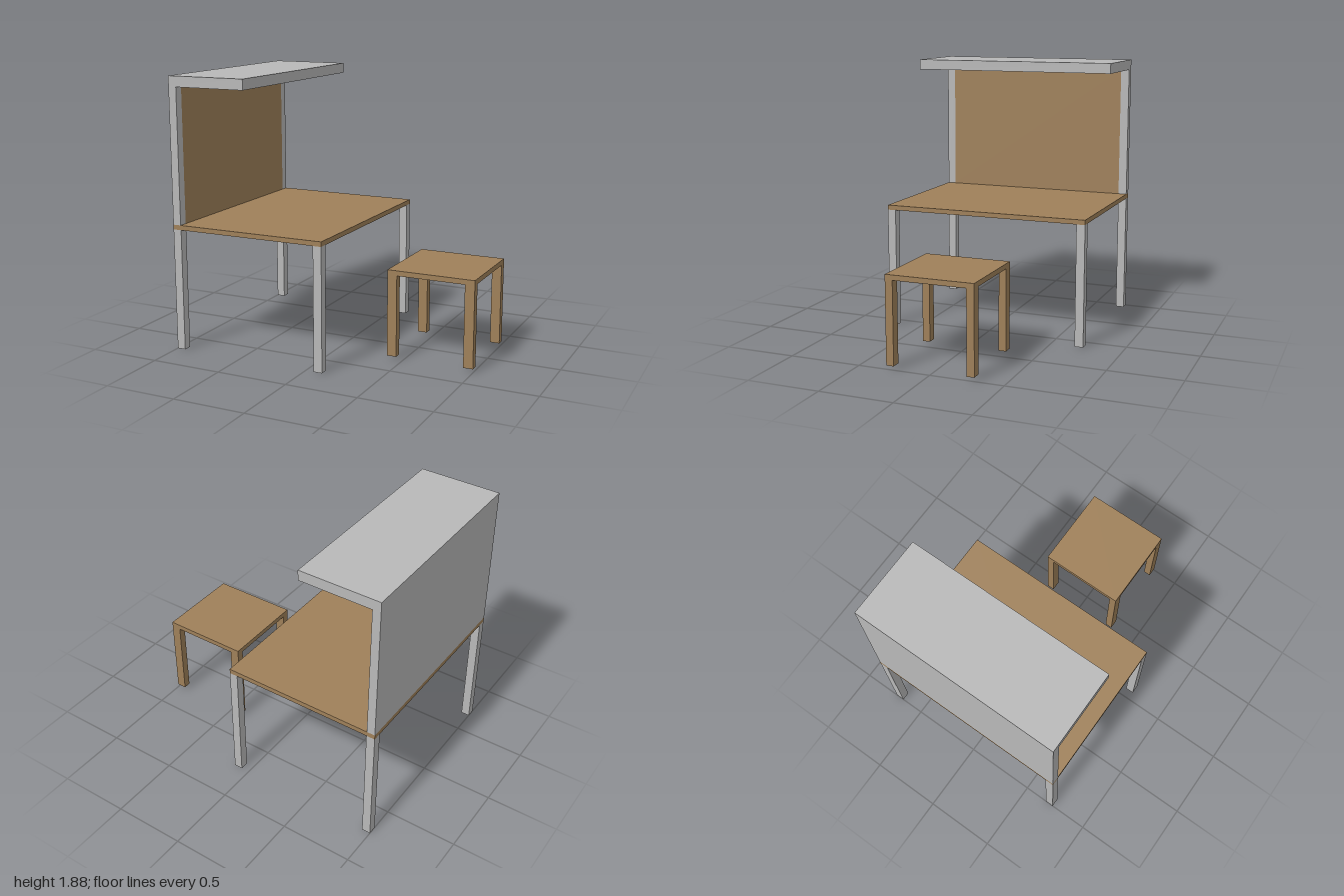
import * as THREE from 'three';

export function createModel() {
  const root = new THREE.Group();
  const wood = new THREE.MeshStandardMaterial({ color: 0x9f8059 });
  wood.name = 'brown wood';
  const metal = new THREE.MeshStandardMaterial({ color: 0xb8b8b8 });
  metal.name = 'grey metal';

  // Box given by its extents on each axis
  function box(parent, name, material, [x0, x1], [y0, y1], [z0, z1]) {
    const mesh = new THREE.Mesh(new THREE.BoxGeometry(x1 - x0, y1 - y0, z1 - z0), material);
    mesh.position.set((x0 + x1) / 2, (y0 + y1) / 2, (z0 + z1) / 2);
    mesh.name = name;
    parent.add(mesh);
    return mesh;
  }

  // Four legs at the corners of a rectangle
  function legs(parent, name, material, [x0, x1], y, halfDepth, width, depth) {
    for (const x of [x0, x1 - width]) {
      for (const z of [-halfDepth, halfDepth - depth]) {
        box(parent, name, material, [x, x + width], y, [z, z + depth]);
      }
    }
  }

  // Desk: wooden top on grey legs
  const desk = new THREE.Group();
  desk.name = 'desk';
  root.add(desk);
  box(desk, 'deskTop', wood, [-1, 0.12], [0.845, 0.878], [-0.73, 0.73]);
  legs(desk, 'deskLeg', metal, [-1, 0.12], [0, 0.845], 0.73, 0.06, 0.06);

  // Back wall: grey posts and panel, wooden on the face toward the desk
  const hood = new THREE.Group();
  hood.name = 'hood';
  root.add(hood);
  const wallY = [0.878, 1.808];
  for (const z of [-0.73, 0.67]) {
    box(hood, 'wallPost', metal, [-1, -0.942], wallY, [z, z + 0.06]);
  }
  box(hood, 'wallPanel', [wood, metal, metal, metal, metal, metal],
    [-1, -0.942], wallY, [-0.67, 0.67]);

  // Overhanging canopy
  box(hood, 'canopy', metal, [-1, -0.433], [1.808, 1.88], [-0.73, 0.73]);

  // Stool
  const stool = new THREE.Group();
  stool.name = 'stool';
  root.add(stool);
  box(stool, 'stoolSeat', wood, [0.392, 1], [0.587, 0.622], [-0.303, 0.303]);
  legs(stool, 'stoolLeg', wood, [0.392, 1], [0.025, 0.587], 0.303, 0.067, 0.052);

  return root;
}
